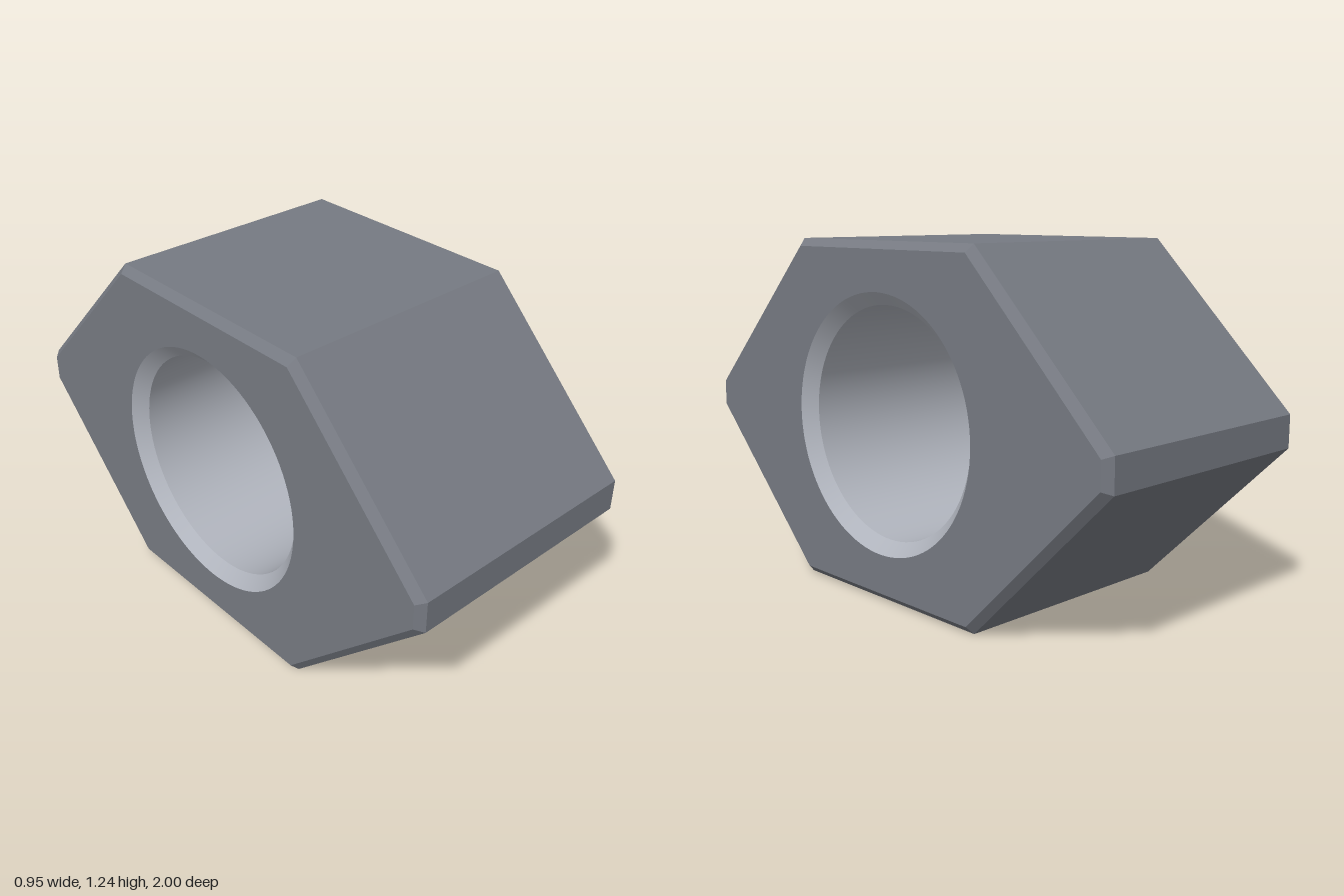
import * as THREE from 'three';

const HALF_LENGTH = 1, HALF_HEIGHT = 0.618, DIAGONAL = 1.057;
const HALF_WIDTH = 0.475, CHAMFER = 0.027;
const BORE = 0.405, BORE_CHAMFER = 0.045;

// Eight-sided outline (counter-clockwise), moved inwards by d on every side
function outline(d) {
  const z = HALF_LENGTH - d, y = HALF_HEIGHT - d, s = DIAGONAL - d * Math.SQRT2;
  const quarter = [[z, s - z], [s - y, y]];
  const half = [...quarter, ...quarter.map(([a, b]) => [-a, b]).reverse()];
  return [...half, ...half.map(([a, b]) => [-a, -b])];
}

// Flat-faced wall joining two outlines at depths w0 < w1
function wall(loop0, w0, loop1, w1) {
  const pos = [];
  loop0.forEach((a0, i) => {
    const j = (i + 1) % loop0.length;
    const p = [[...a0, w0], [...loop0[j], w0], [...loop1[j], w1], [...loop1[i], w1]];
    for (const k of [0, 1, 2, 0, 2, 3]) pos.push(...p[k]);
  });
  const g = new THREE.BufferGeometry();
  g.setAttribute('position', new THREE.Float32BufferAttribute(pos, 3));
  g.computeVertexNormals();
  return g;
}

// Inward-facing round surface between two radii at depths w0 > w1
function innerRing(r0, w0, r1, w1) {
  const pts = [new THREE.Vector2(r0, w0), new THREE.Vector2(r1, w1)];
  return new THREE.LatheGeometry(pts, 96).rotateX(Math.PI / 2);
}

export function createModel() {
  const nut = new THREE.Group();
  nut.name = 'nut';
  // Dark blue-grey body, lighter machined bore
  const bodyMaterial = new THREE.MeshStandardMaterial({ color: 0x767a82 });
  const boreMaterial = new THREE.MeshStandardMaterial({ color: 0xb0b4bd });
  const add = (name, geometry, material) => {
    const mesh = new THREE.Mesh(geometry, material);
    mesh.name = name;
    nut.add(mesh);
  };

  const full = outline(0), inset = outline(CHAMFER);
  const edge = HALF_WIDTH - CHAMFER, boreEdge = HALF_WIDTH - BORE_CHAMFER;

  // Outer sides and the straight bore
  add('outerSides', wall(full, -edge, full, edge), bodyMaterial);
  add('bore', innerRing(BORE, boreEdge, BORE, -boreEdge), boreMaterial);

  // End face with its hole
  const face = new THREE.Shape(inset.map(([a, b]) => new THREE.Vector2(a, b)));
  face.holes.push(new THREE.Path().absarc(0, 0, BORE + BORE_CHAMFER, 0, Math.PI * 2, true));

  // Each end: flat face, outer chamfer and bore chamfer
  for (const [side, turn] of [['left', 0], ['right', Math.PI]]) {
    const endFace = new THREE.ShapeGeometry(face, 48).translate(0, 0, HALF_WIDTH);
    const outerChamfer = wall(full, edge, inset, HALF_WIDTH);
    const boreChamfer = innerRing(BORE + BORE_CHAMFER, HALF_WIDTH, BORE, boreEdge);
    add(side + 'EndFace', endFace.rotateY(turn), bodyMaterial);
    add(side + 'OuterChamfer', outerChamfer.rotateY(turn), bodyMaterial);
    add(side + 'BoreChamfer', boreChamfer.rotateY(turn), boreMaterial);
  }

  // Lay the bore along x and stand the nut on the ground
  nut.rotation.y = Math.PI / 2;
  nut.position.y = HALF_HEIGHT;
  const model = new THREE.Group();
  model.name = 'model';
  model.add(nut);
  return model;
}
